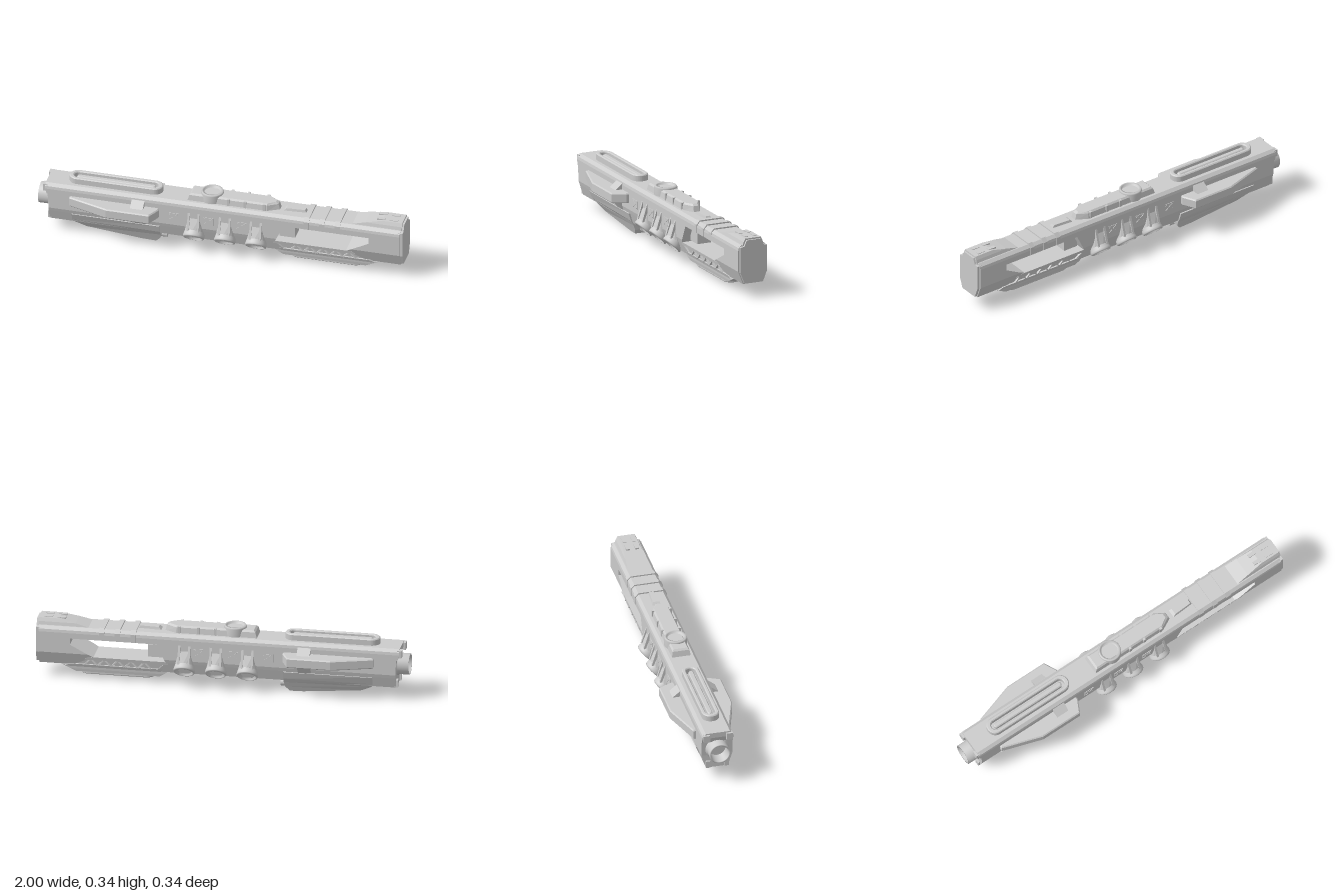
import * as THREE from 'three';
import { ConvexGeometry } from 'three/addons/geometries/ConvexGeometry.js';

export function createModel() {
  const model = new THREE.Group();
  const flat = new THREE.MeshStandardMaterial({ color: 0xcccccc, flatShading: true });
  const smooth = new THREE.MeshStandardMaterial({ color: 0xcccccc, side: THREE.DoubleSide });

  const add = (name, geometry, material = flat) => {
    const mesh = new THREE.Mesh(geometry, material);
    mesh.name = name;
    model.add(mesh);
    return mesh;
  };

  // Solid stacked from level rows [y, half width, aft x, fore x, fore half width]
  const stack = (name, rows) => {
    const rings = rows.map(([y, w, a, b, v = w]) => [[a, y, -w], [a, y, w], [b, y, v], [b, y, -v]]);
    const pos = [];
    const quad = (a, b, c, d) => pos.push(...a, ...b, ...c, ...a, ...c, ...d);
    for (let i = 0; i + 1 < rings.length; i++) {
      for (let k = 0; k < 4; k++) {
        const n = (k + 1) % 4;
        quad(rings[i][k], rings[i][n], rings[i + 1][n], rings[i + 1][k]);
      }
    }
    quad(...rings[rings.length - 1]);
    quad(...[...rings[0]].reverse());
    const g = new THREE.BufferGeometry();
    g.setAttribute('position', new THREE.Float32BufferAttribute(pos, 3));
    g.computeVertexNormals();
    return add(name, g);
  };

  // Plan outline (x, z) raised from y0 to y1
  const plan = (name, shape, y0, y1, bevel = 0.005) => {
    const g = new THREE.ExtrudeGeometry(shape, {
      depth: y1 - y0 - 2 * bevel, bevelEnabled: bevel > 0, bevelSize: bevel, bevelThickness: bevel,
      bevelOffset: -bevel, bevelSegments: 1, curveSegments: 10,
    });
    g.rotateX(Math.PI / 2).translate(0, y1 - bevel, 0);
    return add(name, g);
  };
  const stadium = (x0, x1, r, Type = THREE.Shape) => {
    const s = new Type();
    s.absarc(x1 - r, 0, r, -Math.PI / 2, Math.PI / 2, false);
    s.absarc(x0 + r, 0, r, Math.PI / 2, Math.PI * 1.5, false);
    s.closePath();
    return s;
  };
  const box = (name, x, y, z, w, h, d) => {
    const m = add(name, new THREE.BoxGeometry(w, h, d));
    m.position.set(x, y, z);
    return m;
  };

  // Hull: aft body, full-length upper spine, bow and lower girder around the opening
  stack('mainHull', [
    [0.072, 0.06, -0.935, 0.36], [0.13, 0.079, -0.935, 0.3],
    [0.15, 0.085, -0.935, 0.31], [0.235, 0.085, -0.94, 0.35],
  ]);
  stack('upperSpine', [
    [0.235, 0.085, -0.945, 0.985], [0.265, 0.085, -0.955, 0.985],
    [0.28, 0.082, -0.955, 0.985], [0.295, 0.066, -0.955, 0.985],
  ]);
  stack('bow', [
    [0.08, 0.057, 0.8, 0.985], [0.135, 0.079, 0.69, 0.985],
    [0.15, 0.085, 0.72, 0.985], [0.2, 0.085, 0.815, 0.985], [0.24, 0.085, 0.815, 0.985],
  ]);
  stack('bowCrest', [[0.29, 0.062, 0.7, 0.99], [0.312, 0.055, 0.79, 0.99], [0.33, 0.046, 0.88, 0.99]]);
  stack('bowFace', [
    [0.088, 0.055, 0.97, 1], [0.145, 0.078, 0.97, 1], [0.285, 0.078, 0.97, 1],
    [0.289, 0.056, 0.97, 1], [0.322, 0.041, 0.97, 1],
  ]);
  stack('lowerGirder', [[0.07, 0.052, 0.33, 0.83], [0.132, 0.066, 0.3, 0.75]]);
  stack('girderRail', [[0.118, 0.076, 0.29, 0.74], [0.135, 0.08, 0.29, 0.72]]);
  stack('girderSill', [[0.07, 0.06, 0.33, 0.85], [0.086, 0.066, 0.32, 0.82]]);
  stack('keel', [
    [0.04, 0.05, 0.34, 0.79], [0.055, 0.053, 0.315, 0.82], [0.075, 0.055, 0.29, 0.86],
  ]);
  const keelRim = stadium(0.37, 0.77, 0.045);
  keelRim.holes.push(stadium(0.39, 0.75, 0.028, THREE.Path));
  plan('keelRim', keelRim, 0.025, 0.045);
  box('openingPlug', 0.36, 0.18, 0, 0.085, 0.07, 0.08);

  // Zigzag truss bars, spine bands and hatch panels on both sides
  for (const s of [1, -1]) {
    for (let i = 0; i < 10; i++) {
      const bar = box('trussBar', 0.4 + i * 0.036, 0.102, s * 0.063, 0.007, 0.047, 0.012);
      bar.rotation.z = i % 2 ? 0.75 : -0.75;
    }
    for (const x of [-0.25, -0.06, 0.12]) {
      box('hatchPanel', x, 0.2, s * 0.085, 0.058, 0.046, 0.006);
      for (const a of [0.65, -0.65]) {
        box('hatchBrace', x, 0.2, s * 0.088, 0.055, 0.007, 0.006).rotation.z = a;
      }
    }
    box('sternHorn', -0.955, 0.268, s * 0.062, 0.025, 0.04, 0.034);
    box('sternFoot', -0.935, 0.095, s * 0.05, 0.02, 0.04, 0.025);
    for (const x of [0.87, 0.94]) box('bowVent', x, 0.329, s * 0.025, 0.045, 0.008, 0.02);
  }
  for (const x of [0.475, 0.56, 0.645]) {
    stack('spineBand', [
      [0.236, 0.087, x - 0.014, x + 0.014], [0.28, 0.087, x - 0.014, x + 0.014],
      [0.302, 0.068, x - 0.014, x + 0.014],
    ]);
  }

  // Dorsal structures
  const railShape = stadium(-0.84, -0.33, 0.046);
  railShape.holes.push(stadium(-0.815, -0.355, 0.026, THREE.Path));
  plan('dorsalRail', railShape, 0.29, 0.33);
  plan('railCore', stadium(-0.8, -0.37, 0.014), 0.29, 0.322);
  stack('deckHouse', [[0.29, 0.052, -0.185, 0.25], [0.325, 0.046, -0.175, 0.25], [0.334, 0.038, -0.165, 0.25]]);
  stack('deckProw', [
    [0.29, 0.052, 0.25, 0.315, 0.018], [0.325, 0.046, 0.25, 0.305, 0.015], [0.334, 0.038, 0.25, 0.29, 0.012],
  ]);
  for (const x of [0.04, 0.13, 0.235]) box('deckRib', x, 0.312, 0, 0.014, 0.04, 0.108);
  stack('deckBlister', [[0.29, 0.025, 0.33, 0.46, 0.016], [0.308, 0.018, 0.35, 0.45, 0.012]]);
  const ring = [[0, 0.325], [0.042, 0.325], [0.046, 0.345], [0.057, 0.345], [0.061, 0.338], [0.061, 0.29]];
  const turret = add('turretRing', new THREE.LatheGeometry(ring.map(p => new THREE.Vector2(...p)), 32), smooth);
  turret.position.x = -0.06;

  // Side fins with cross brackets
  for (const s of [1, -1]) {
    const pts = [[-0.82, 0.07], [-0.82, 0.1], [-0.6, 0.17], [-0.365, 0.17], [-0.33, 0.1], [-0.33, 0.07]];
    plan('sideFin', new THREE.Shape(pts.map(([x, z]) => new THREE.Vector2(x, s * z))), 0.185, 0.24, 0.006);
  }
  stack('finBracket', [
    [0.125, 0.08, -0.48, -0.41], [0.185, 0.12, -0.48, -0.41],
    [0.24, 0.125, -0.48, -0.41], [0.272, 0.085, -0.48, -0.41],
  ]);

  // Ventral pod with a forward barrel
  stack('ventralPod', [
    [0.003, 0.03, -0.43, -0.36, 0.033], [0.03, 0.028, -0.74, -0.335, 0.045],
    [0.06, 0.045, -0.8, -0.33, 0.058], [0.085, 0.066, -0.81, -0.33, 0.072], [0.127, 0.084, -0.81, -0.33, 0.087],
  ]);
  const barrel = add('podBarrel', new THREE.CylinderGeometry(0.019, 0.019, 0.07, 20), smooth);
  barrel.rotation.z = Math.PI / 2;
  barrel.position.set(-0.34, 0.037, 0);

  // Canted side thrusters: open cup, fairing and two ribs
  const cup = [[0, -0.03], [0.042, -0.03], [0.046, 0], [0.054, 0], [0.057, -0.005], [0.057, -0.014], [0.048, -0.055]];
  for (const s of [1, -1]) {
    for (const x of [-0.14, 0.03, 0.2]) {
      const axis = new THREE.Vector3(0, -0.72, 0.69 * s).normalize();
      const turn = new THREE.Quaternion().setFromUnitVectors(new THREE.Vector3(0, 1, 0), axis);
      const centre = new THREE.Vector3(x, 0.091, 0.096 * s);
      const thruster = add('thrusterCup', new THREE.LatheGeometry(cup.map(p => new THREE.Vector2(...p)), 28), smooth);
      thruster.quaternion.copy(turn);
      thruster.position.copy(centre);
      const pts = [];
      for (let i = 0; i < 20; i++) {
        const a = i / 20 * Math.PI * 2;
        pts.push(new THREE.Vector3(Math.cos(a) * 0.053, -0.032, Math.sin(a) * 0.053).applyQuaternion(turn).add(centre));
      }
      for (const d of [-1, 1]) {
        pts.push(new THREE.Vector3(x + d * 0.028, 0.21, 0.083 * s), new THREE.Vector3(x + d * 0.05, 0.13, 0.06 * s));
        const rib = box('thrusterRib', x + d * 0.027, 0.187, 0.092 * s, 0.012, 0.1, 0.018);
        rib.rotation.x = -s * 0.3;
      }
      add('thrusterFairing', new ConvexGeometry(pts));
    }
  }

  // Stern engine nozzle
  const nozzle = [[0, -0.04], [0.045, -0.04], [0.049, 0.03], [0.057, 0.03], [0.057, -0.025], [0.064, -0.03], [0.064, -0.05]];
  const engine = add('sternNozzle', new THREE.LatheGeometry(nozzle.map(p => new THREE.Vector2(...p)), 32), smooth);
  engine.rotation.z = Math.PI / 2;
  engine.position.set(-0.97, 0.188, 0);

  return model;
}
